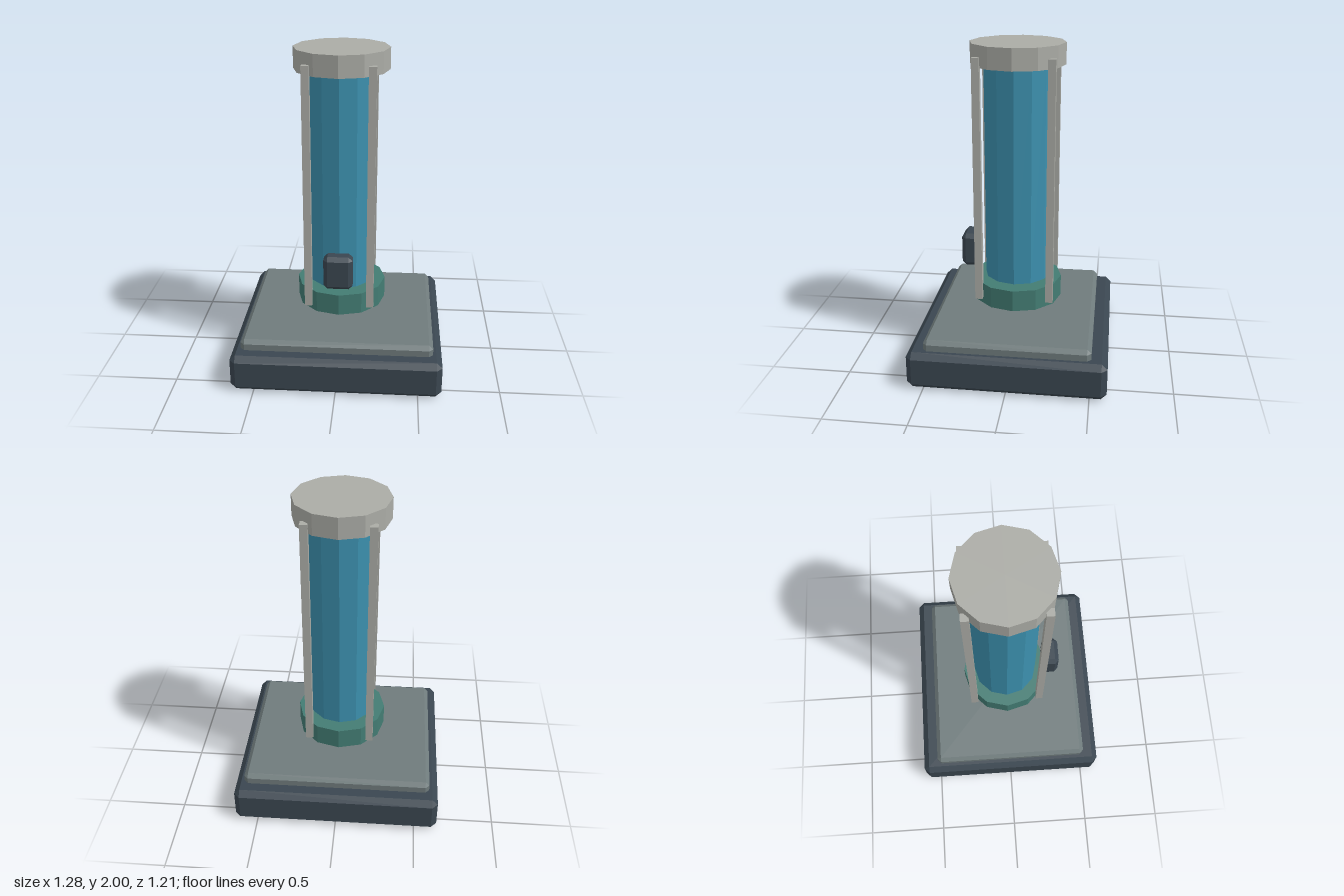
import * as THREE from 'three';
import { ConvexGeometry } from 'three/addons/geometries/ConvexGeometry.js';

const paint = (name, color) => {
  const m = new THREE.MeshStandardMaterial({ color, flatShading: true });
  m.name = name;
  return m;
};

// Box with every edge cut by a flat chamfer c
function chamferBox(w, h, d, c) {
  const points = [];
  for (const sx of [-1, 1]) for (const sy of [-1, 1]) for (const sz of [-1, 1]) {
    const x = w / 2, y = h / 2, z = d / 2;
    points.push(
      new THREE.Vector3(sx * x, sy * (y - c), sz * (z - c)),
      new THREE.Vector3(sx * (x - c), sy * y, sz * (z - c)),
      new THREE.Vector3(sx * (x - c), sy * (y - c), sz * z)
    );
  }
  return new ConvexGeometry(points);
}

export function createModel() {
  const model = new THREE.Group();
  model.name = 'tubeOnPedestal';

  const darkSteel = paint('darkSteel', 0x3a4650);
  const slateGrey = paint('slateGrey', 0x6f7b7c);
  const teal = paint('teal', 0x437c73);
  const blueGlass = paint('blueGlass', 0x3c90ae);
  const paleMetal = paint('paleMetal', 0xabaca6);

  const add = (name, geometry, material, x, y, z) => {
    const mesh = new THREE.Mesh(geometry, material);
    mesh.name = name;
    mesh.position.set(x, y, z);
    model.add(mesh);
  };
  // Twelve-sided drum between two heights
  const drum = (name, r, y0, y1, material) =>
    add(name, new THREE.CylinderGeometry(r, r, y1 - y0, 12), material, 0, (y0 + y1) / 2, 0);

  // Stepped pedestal
  add('base', chamferBox(1.285, 0.235, 1.205, 0.035), darkSteel, 0, 0.1175, 0);
  add('topSlab', chamferBox(1.175, 0.1, 1.01, 0.025), slateGrey, 0, 0.25, 0);

  // Collar, glass tube and cap
  drum('collar', 0.28, 0.375, 0.51, teal);
  drum('glassTube', 0.207, 0.525, 1.87, blueGlass);
  drum('cap', 0.288, 1.87, 2, paleMetal);

  // Four corner posts
  const post = new THREE.BoxGeometry(0.046, 1.515, 0.046);
  for (const sx of [-1, 1]) for (const sz of [-1, 1]) {
    add('post', post, paleMetal, sx * 0.192, 1.1725, sz * 0.221);
  }

  // Control box at the front
  add('controlBox', chamferBox(0.178, 0.214, 0.105, 0.025), darkSteel, 0, 0.688, 0.297);

  return model;
}
